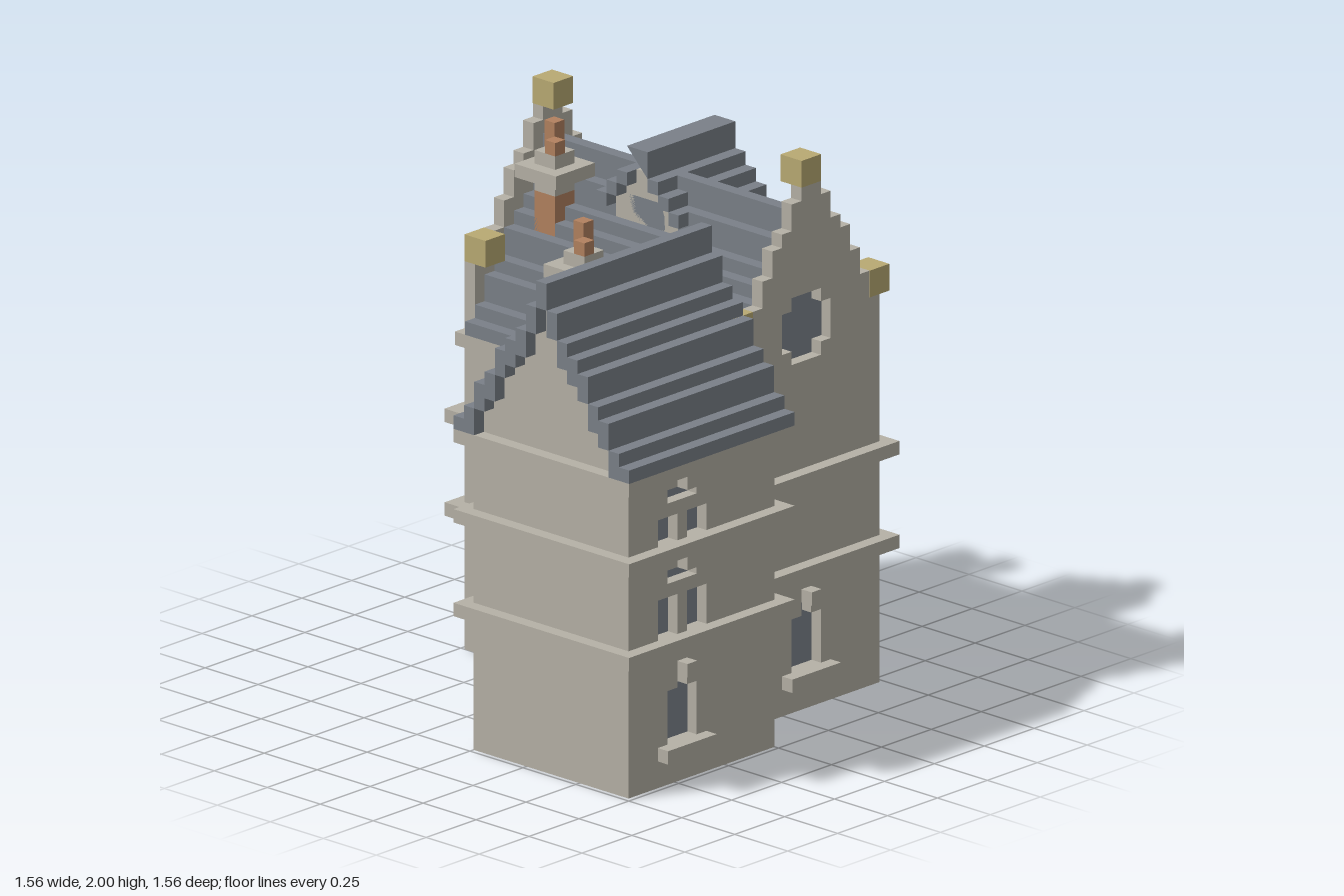
import * as THREE from 'three';

const UNIT = 2 / 41; // everything below is measured in blocks of this size
const material = (name, color) => {
  const m = new THREE.MeshStandardMaterial({ color });
  m.name = name;
  return m;
};

export function createModel() {
  const stone = material('stone', 0xb5b1a6);
  const slate = material('slate', 0x7a8088);
  const glass = material('window glass', 0x7d848d);
  const gold = material('gold', 0xb9aa73);
  const clay = material('clay', 0xb2815f);

  const house = new THREE.Group();
  house.name = 'house';
  house.scale.setScalar(UNIT);

  const add = (name, geometry, mat, parent) => {
    const mesh = new THREE.Mesh(geometry, mat);
    mesh.name = name;
    parent.add(mesh);
    return mesh;
  };
  // Box from its minimum and maximum corners
  const box = (name, mat, x0, x1, y0, y1, z0, z1, parent = house) => {
    const g = new THREE.BoxGeometry(x1 - x0, y1 - y0, z1 - z0);
    g.translate((x0 + x1) / 2, (y0 + y1) / 2, (z0 + z1) / 2);
    return add(name, g, mat, parent);
  };
  const vectors = (pts) => pts.map(([x, y]) => new THREE.Vector2(x, y));
  // Flat outline with holes, extruded from depth n0 to n1
  const slab = (name, mat, outline, holes, n0, n1, parent) => {
    const shape = new THREE.Shape(vectors(outline));
    holes.forEach((h) => shape.holes.push(new THREE.Path(vectors(h))));
    const g = new THREE.ExtrudeGeometry(shape, { depth: n1 - n0, bevelEnabled: false });
    g.translate(0, 0, n0);
    return add(name, g, mat, parent);
  };
  const rect = (a, b, c, d) => [[a, c], [b, c], [b, d], [a, d]];
  // Symmetric stepped outline from [half width, top] pairs, widest first
  const stepped = (c, base, steps) => {
    const half = [];
    let y = base;
    for (const [h, top] of steps) {
      half.push([h, y], [h, top]);
      y = top;
    }
    return [...half.map(([h, t]) => [c - h, t]), ...half.reverse().map(([h, t]) => [c + h, t])];
  };
  // Facade group: local z points outward, local x runs along the wall
  const facade = (name, angle) => {
    const g = new THREE.Group();
    g.name = name;
    g.rotation.y = angle;
    house.add(g);
    return g;
  };
  const EAST = Math.PI / 2, WEST = -Math.PI / 2, BACK = Math.PI;

  // Arched upper window: y is the sill height, h the pane height
  const upperHole = (u, y, h) => stepped(u, y, [[2.5, y + h + 1], [1.5, y + h + 2]]);
  const upperWindow = (g, u, y, h, n) => {
    box('windowPane', glass, u - 2.5, u + 2.5, y, y + h + 2, n - 1, n - 0.9, g);
    box('windowMullion', stone, u - 0.5, u + 0.5, y, y + h, n - 1, n, g);
    box('windowLintel', stone, u - 2.5, u + 2.5, y + h, y + h + 1, n - 1, n, g);
    box('windowKeystone', stone, u - 0.5, u + 0.5, y + h + 2, y + h + 3, n - 0.5, n + 1, g);
  };
  const FLOORS = [[11, 3], [18, 2]];

  // Ground floor window with sill and keystone
  const groundHole = (u) => stepped(u, 3, [[1.5, 7], [0.5, 8]]);
  const groundWindow = (g, u, n) => {
    box('groundPane', glass, u - 1.5, u + 1.5, 3, 8, n - 1, n - 0.9, g);
    box('groundSill', stone, u - 2.5, u + 2.5, 2, 3, n - 0.5, n + 1, g);
    box('groundKeystone', stone, u - 0.5, u + 0.5, 8, 9, n - 0.5, n + 1, g);
  };

  // Solid cores of the two wings
  box('mainCoreGround', stone, -15, 10, 0, 10, -12, 0);
  box('mainCoreUpper', stone, -15, 10, 10, 24, -14, 0);
  box('frontWingCore', stone, 0, 14, 0, 24, 0, 15);

  // Stone bands round each storey
  for (const y of [10, 17]) {
    box('mainBand', stone, -16, 12, y, y + 1, -16, 1);
    box('wingBand', stone, -1, 16, y, y + 1, -1, 16);
  }
  box('mainCornice', stone, -15, 11, 23, 24, -15, 1);
  box('wingCornice', stone, -1, 16, 23, 24, -1, 16);

  // Side wall of the front wing
  const wingSide = facade('wingSideWall', EAST);
  slab('wingSideFace', stone, rect(-15, 0, 0, 24),
    [groundHole(-9.5), ...FLOORS.map(([y, h]) => upperHole(-9.5, y, h))], 14, 15, wingSide);
  groundWindow(wingSide, -9.5, 15);
  FLOORS.forEach(([y, h]) => upperWindow(wingSide, -9.5, y, h, 15));

  // Back wall: deep bays below, two rows of windows above
  const back = facade('backWall', BACK);
  slab('bayWall', stone, rect(-10, 15, 0, 10),
    [[-7, -2], [0, 4], [6, 11]].map(([a, b]) => rect(a, b, 1, 9)), 12, 15, back);
  for (const u of [-8, -1, 5, 12]) box('bayBracket', stone, u - 1, u + 1, 7, 8, 14.5, 16, back);
  const columns = [-7.5, 0.5, 9.5];
  slab('upperBackWall', stone, rect(-10, 15, 10, 24),
    columns.flatMap((u) => FLOORS.map(([y, h]) => upperHole(u, y, h))), 14, 15, back);
  for (const u of columns) for (const [y, h] of FLOORS) upperWindow(back, u, y, h, 15);

  // Stepped gables with a round window and gold finials
  const gableOutline = (s, base) => [
    [0, base], [15, base], [15, 29], [14, 29], [14, 31], [13, 31], [13, 33], [12, 33], [12, 35],
    [11, 35], [11, 36], [10, 36], [10, 38], [9, 38], [9, 39], [7, 39], [7, 38], [6, 38], [6, 36],
    [5, 36], [5, 35], [4, 35], [4, 33], [3, 33], [3, 31], [2, 31], [2, 29], [0, 29],
  ].map(([u, y]) => [u * s, y]);
  const roundHole = (u) => [[1.5, 26], [1.5, 27], [2.5, 27], [2.5, 30], [1.5, 30], [1.5, 31],
    [-1.5, 31], [-1.5, 30], [-2.5, 30], [-2.5, 27], [-1.5, 27], [-1.5, 26]].map(([a, y]) => [u + a, y]);
  for (const [name, angle, s, n, base] of [['rightGable', EAST, 1, 11, 0], ['leftGable', WEST, -1, 15, 24]]) {
    const g = facade(name, angle);
    const holes = [roundHole(7.5 * s)];
    if (base === 0) {
      holes.push(groundHole(7.5));
      groundWindow(g, 7.5, n);
    }
    slab('gableFace', stone, gableOutline(s, base), holes, n - 1, n, g);
    box('gablePane', glass, 7.5 * s - 2.5, 7.5 * s + 2.5, 26, 31, n - 1.05, n - 0.9, g);
    for (const [u, y] of [[1, 29], [8, 39], [15, 29]]) {
      box('finial', gold, u * s - 1, u * s + 1, y, y + 2, n - 2.02, n + 0.02, g);
    }
  }

  // Stepped slate roofs
  const ROOF = [[8.5, 25], [7.5, 26], [6.5, 28], [5.5, 29], [4.5, 31], [3.5, 32], [2.5, 33], [1.5, 35], [0.5, 37]];
  const mainRoof = facade('mainRoof', EAST);
  slab('mainRoofSlate', slate, stepped(7.5, 24, ROOF), [], -14, 10, mainRoof);

  const inner = ROOF.slice(2).map(([h, t]) => [h, t - 2]);
  const shell = [...stepped(7.5, 24, ROOF), ...stepped(7.5, 24, inner).reverse()];
  slab('wingRoofSlate', slate, shell, [], -1, 16, house);
  slab('wingGable', stone, stepped(7.5, 24, inner), [], 0, 15, house);

  // Dormer on the back slope
  const dormer = new THREE.Group();
  dormer.name = 'dormer';
  house.add(dormer);
  const dormerTop = [[3, 35], [2, 36], [1, 37]];
  slab('dormerBody', stone, stepped(-3, 28, dormerTop), [], -12, -6, dormer);
  slab('dormerFace', stone, stepped(-3, 28, dormerTop), [rect(-5, -1, 29, 34)], -13, -12, dormer);
  box('dormerPane', glass, -5, -1, 29, 34, -12.1, -12, dormer);
  box('dormerSill', stone, -7, 1, 28, 29, -14, -12.5, dormer);
  slab('dormerRoof', slate, [
    ...stepped(-3, 34, [[4, 35], [3, 36], [2, 37], [1, 39]]),
    ...stepped(-3, 34, dormerTop).reverse(),
  ], [], -14, -5, dormer);

  // Chimneys with a stone cap and two clay pots
  for (const [x, z] of [[-12, -6], [4, 8]]) {
    const c = new THREE.Group();
    c.name = 'chimney';
    c.position.set(x, 0, z);
    house.add(c);
    box('chimneyStack', clay, 0, 2, 28, 34, 0, 2, c);
    box('chimneyNeck', stone, 0, 2, 34, 37, 0, 2, c);
    box('chimneyCap', stone, -1, 3, 35, 36, -1, 3, c);
    box('tallPot', clay, 0, 1, 37, 39, 0, 1, c);
    box('shortPot', clay, 1, 2, 37, 38, 1, 2, c);
  }

  const model = new THREE.Group();
  model.name = 'steppedGableHouse';
  model.add(house);
  return model;
}
